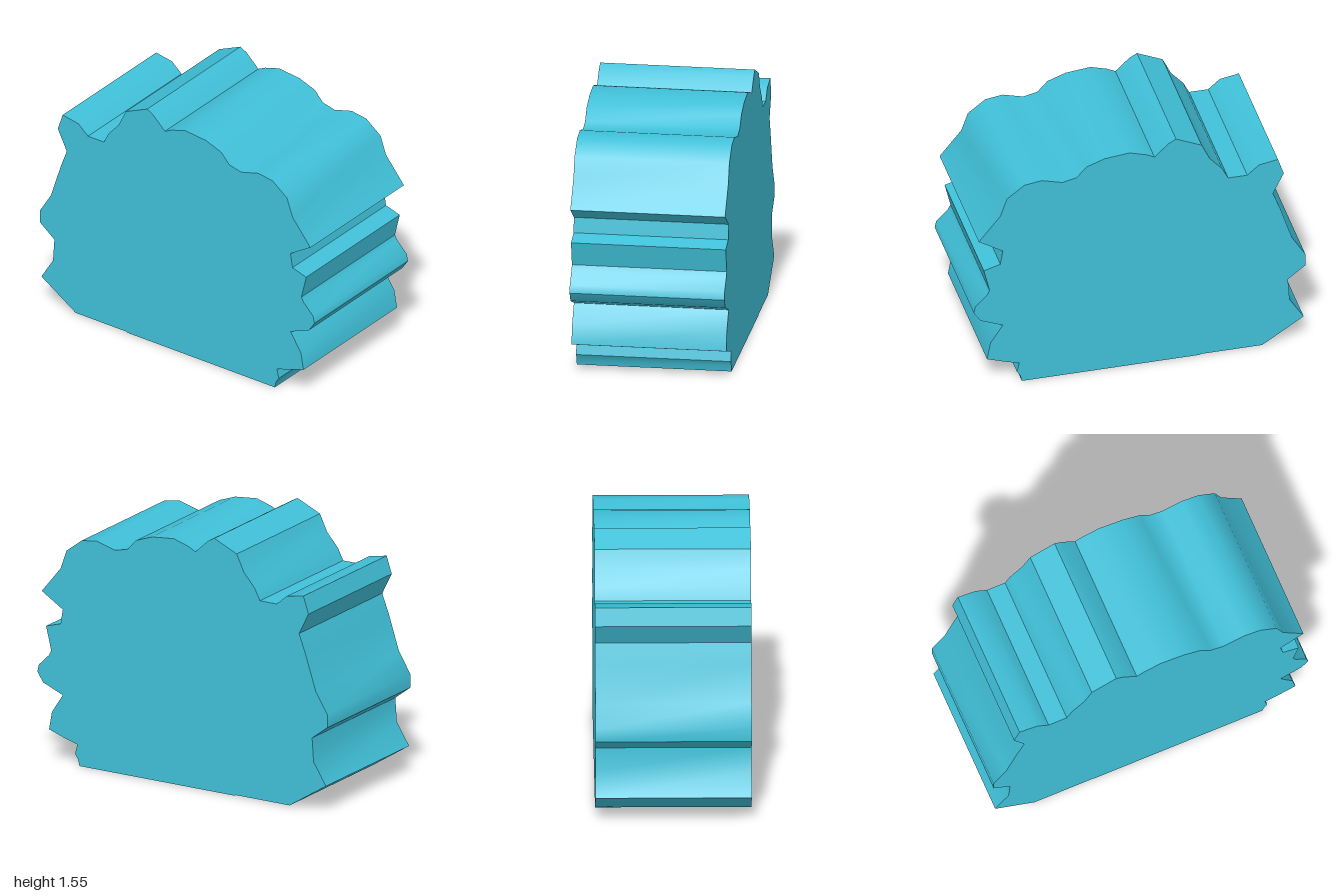
import * as THREE from 'three';
import { toCreasedNormals } from 'three/addons/utils/BufferGeometryUtils.js';

export function createModel() {
  const group = new THREE.Group();
  group.name = 'bush';
  const leafBlue = new THREE.MeshStandardMaterial({ color: 0x40c0d8 });
  leafBlue.name = 'leafBlue';

  // Ragged outline, counter-clockwise from the bottom left corner
  const outline = [
    [-0.74, 0.005], [-0.37, 0.005], [-0.36, 0], [0.71, 0], [0.72, 0.04], [0.74, 0.07], [0.725, 0.13],
    [0.80, 0.15], [0.92, 0.19], [0.90, 0.30], [0.825, 0.415], [0.96, 0.47],
    [1.0, 0.53], [0.99, 0.575], [0.92, 0.645], [0.905, 0.675], [0.94, 0.82],
    [0.84, 0.85], [0.825, 0.94], [0.97, 1.03], [0.84, 1.19], [0.80, 1.305],
    [0.695, 1.385], [0.59, 1.40], [0.465, 1.365], [0.38, 1.385], [0.32, 1.45],
    [0.21, 1.49], [0.06, 1.505], [-0.04, 1.475], [-0.09, 1.45], [-0.175, 1.53],
    [-0.22, 1.555], [-0.375, 1.485], [-0.425, 1.38], [-0.50, 1.295],
    [-0.535, 1.225], [-0.65, 1.225], [-0.72, 1.285], [-0.835, 1.305],
    [-0.87, 1.20], [-0.805, 1.07], [-0.85, 0.95], [-0.92, 0.735], [-1.0, 0.605],
    [-1.0, 0.525], [-0.895, 0.445], [-0.905, 0.30], [-0.99, 0.165],
  ];
  const shape = new THREE.Shape(outline.map(([x, y]) => new THREE.Vector2(x, y)));

  // Solid slab with softened shallow edges and crisp sharp ones
  const slab = new THREE.ExtrudeGeometry(shape, { depth: 0.914, bevelEnabled: false });
  slab.translate(0, 0, -0.457);
  const foliage = new THREE.Mesh(toCreasedNormals(slab, 0.62), leafBlue);
  foliage.name = 'foliage';
  group.add(foliage);
  return group;
}
